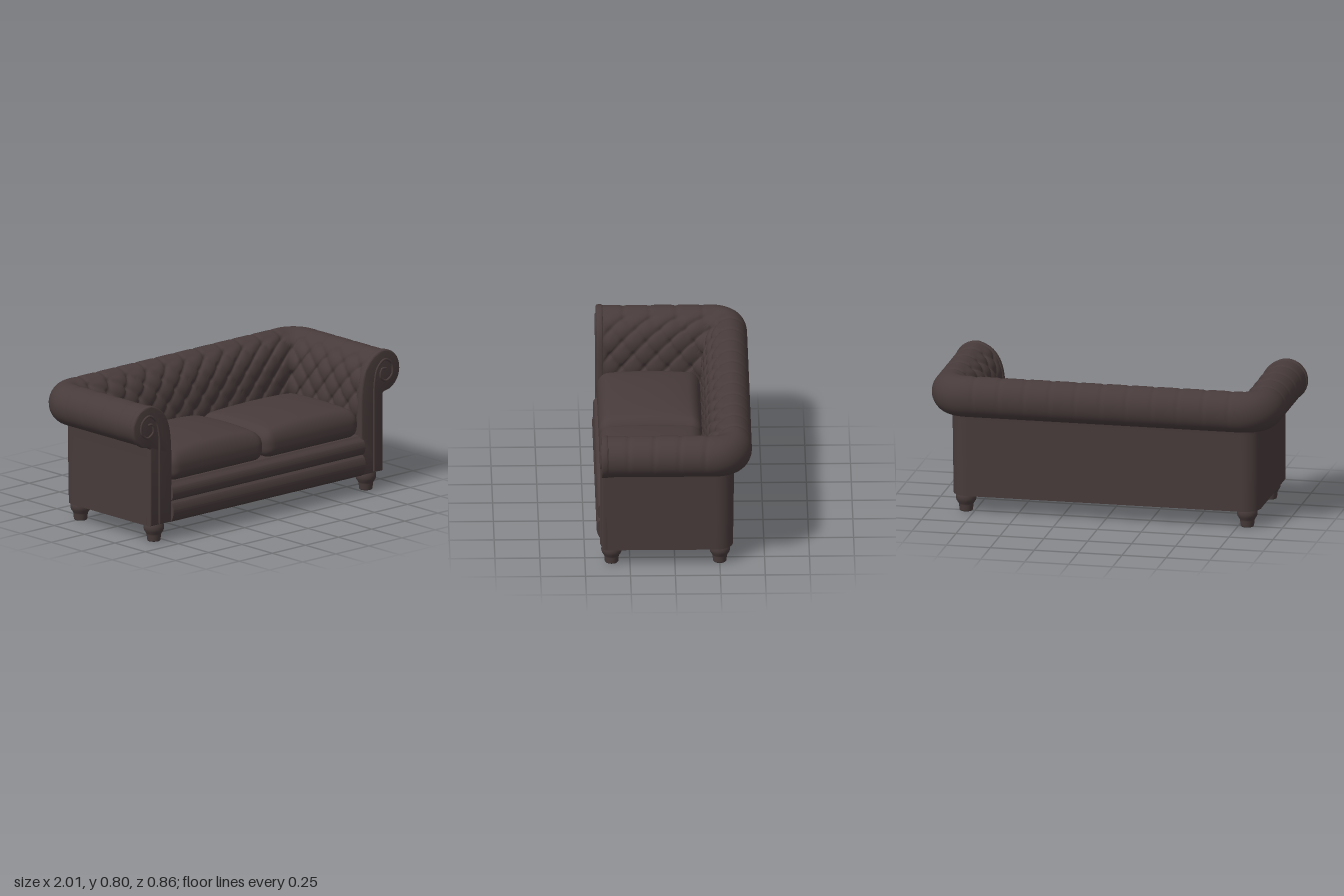
import * as THREE from 'three';
import { mergeVertices, toCreasedNormals } from 'three/addons/utils/BufferGeometryUtils.js';

const W = 0.88, B = 0.33, FRONT = 0.39, CORNER = 0.1; // outer shell outline
const TUFT = 0.14;                                    // button spacing

const smooth = (a, b, x) => THREE.MathUtils.smoothstep(x, a, b);

// Point on the U-shaped path (left arm, back, right arm), offset outward by d.
function pathPoint(leg, t, d) {
  const back = B + (d > 0 ? d * 0.83 : d);
  const r = Math.max(CORNER + d, 0.03);
  const cx = W + d - r, cz = -(back - r);
  if (leg === 0) return [W + d, FRONT + (cz - FRONT) * t];
  if (leg === 1) return [cx + r * Math.cos(t * Math.PI / 2), cz - r * Math.sin(t * Math.PI / 2)];
  if (leg === 2) return [cx * (1 - 2 * t), -back];
  const [x, z] = pathPoint(4 - leg === 1 ? 1 : 0, 1 - t, d);
  return [-x, z];
}

// Sweep an (offset, height) section round the path; relief pushes it along its normal.
function sweep(section, relief) {
  const stations = [];
  [60, 12, 170, 12, 60].forEach((n, leg) => {
    for (let k = leg ? 1 : 0; k <= n; k++) stations.push([leg, k / n]);
  });
  const lengths = [0];
  for (let j = 1; j < section.length; j++) lengths.push(lengths[j - 1] + section[j].distanceTo(section[j - 1]));
  const dist = [0];
  for (let i = 1; i < stations.length; i++) {
    const p = pathPoint(...stations[i], -0.1), q = pathPoint(...stations[i - 1], -0.1);
    dist.push(dist[i - 1] + Math.hypot(p[0] - q[0], p[1] - q[1]));
  }
  const total = dist[dist.length - 1], n = section.length, pos = [], index = [];
  stations.forEach(([leg, t], i) => {
    section.forEach((p, j) => {
      let d = p.x, y = p.y;
      if (relief) {
        const a = section[Math.max(j - 1, 0)], b = section[Math.min(j + 1, n - 1)];
        const l = a.distanceTo(b);
        const end = smooth(0, 0.05, Math.min(dist[i], total - dist[i]));
        const h = relief(dist[i] - total / 2, lengths[j]) * end;
        d -= (b.y - a.y) / l * h;
        y += (b.x - a.x) / l * h;
      }
      const [x, z] = pathPoint(leg, t, d);
      pos.push(x, y, z);
      if (i && j) {
        const c = i * n + j, e = c - n;
        index.push(e - 1, e, c - 1, e, c, c - 1);
      }
    });
  });
  const g = new THREE.BufferGeometry();
  g.setAttribute('position', new THREE.Float32BufferAttribute(pos, 3));
  g.setIndex(index);
  g.computeVertexNormals();
  return g;
}

// Diamond tufting on the inner face, running out into pleats over the roll.
function tufting(s, v) {
  const u = s / TUFT, w = (v - 0.49) / 0.15;
  const puff = Math.sqrt(Math.abs(Math.sin(Math.PI * (u + w)) * Math.sin(Math.PI * (u - w))));
  const button = Math.pow(Math.abs(Math.cos(Math.PI * (u + w)) * Math.cos(Math.PI * (u - w))), 10);
  const gap = Math.abs(u - Math.round(u)) * TUFT;
  const pleat = -0.005 * Math.exp(-Math.pow(gap / 0.012, 2)) * (1 - smooth(0.7, 0.86, v));
  const inside = 1 - smooth(0.47, 0.52, v);
  return inside * (0.018 * puff - 0.014 - 0.012 * button) + (1 - inside) * pleat;
}

// Plump cushion: a rounded box with a crowned top.
function cushionGeometry(w, h, d, r, crown) {
  const g = new THREE.BoxGeometry(w, h, d, 44, 12, 40);
  g.deleteAttribute('uv');
  g.deleteAttribute('normal');
  const p = g.attributes.position, v = new THREE.Vector3(), c = new THREE.Vector3();
  const lim = new THREE.Vector3(w / 2 - r, h / 2 - r, d / 2 - r);
  for (let i = 0; i < p.count; i++) {
    v.fromBufferAttribute(p, i);
    c.copy(v).clamp(lim.clone().negate(), lim);
    v.sub(c);
    if (v.length() > 0) v.setLength(r);
    v.add(c);
    const a = 1 - Math.pow(2 * v.x / w, 2), b = 1 - Math.pow(2 * v.z / d, 2);
    if (v.y > 0) v.y += crown * Math.sqrt(Math.max(a, 0) * Math.max(b, 0)) * v.y / (h / 2);
    p.setXYZ(i, v.x, v.y, v.z);
  }
  const m = mergeVertices(g, 1e-5);
  m.computeVertexNormals();
  return m;
}

export function createModel() {
  const sofa = new THREE.Group();
  sofa.name = 'sofa';
  const leather = new THREE.MeshStandardMaterial({ color: 0x483b3b });
  leather.name = 'dark brown leather';
  const add = (name, geometry, x = 0, y = 0, z = 0) => {
    const m = new THREE.Mesh(geometry, leather);
    m.name = name;
    m.position.set(x, y, z);
    sofa.add(m);
    return m;
  };
  const V = (x, y) => new THREE.Vector2(x, y);

  // Rolled arms and back in one sweep
  const profile = [V(-0.16, 0.3), V(-0.16, 0.45), V(-0.155, 0.58), V(-0.135, 0.68), V(-0.09, 0.75)];
  for (let k = 0; k <= 8; k++) {
    const a = THREE.MathUtils.degToRad(105 - k * 24.4);
    profile.push(V(0.005 + 0.115 * Math.cos(a), 0.677 + 0.115 * Math.sin(a)));
  }
  const roll = new THREE.SplineCurve(profile).getSpacedPoints(84);
  add('tuftedArmsAndBack', sweep(roll, tufting));
  add('outerPanel', sweep([V(0.005, 0.57), V(0, 0.54), V(-0.003, 0.3), V(-0.006, 0.1)]));
  add('undersideRim', sweep([V(-0.006, 0.1), V(-0.17, 0.1)]));

  // Arm fronts with scroll piping
  const scroll = [[0.81, 0.11], [0.81, 0.3], [0.81, 0.5], [0.813, 0.62], [0.837, 0.705], [0.89, 0.742],
    [0.942, 0.71], [0.945, 0.65], [0.9, 0.618], [0.858, 0.645], [0.868, 0.69], [0.9, 0.69]];
  for (const side of [1, -1]) {
    const name = side > 0 ? 'left' : 'right';
    const outline = [V(-0.16, 0.108), ...roll.filter((p, j) => j % 2 === 0), V(-0.008, 0.55), V(-0.008, 0.108)]
      .map(p => V(side * (W + p.x), p.y));
    const front = new THREE.ExtrudeGeometry(new THREE.Shape(outline), {
      depth: 0.018, bevelThickness: 0.01, bevelSize: 0.008, bevelOffset: -0.003, bevelSegments: 3 });
    add(name + 'ArmFront', toCreasedNormals(front, 0.6), 0, 0, 0.382);
    const curve = new THREE.CatmullRomCurve3(scroll.map(([x, y]) => new THREE.Vector3(side * x, y, 0.41)));
    add(name + 'ScrollPiping', new THREE.TubeGeometry(curve, 90, 0.007, 8));
  }

  // Seat base with two padded front rails
  const base = new THREE.Shape();
  base.moveTo(-0.2, 0.1);
  base.lineTo(0.4, 0.1);
  base.splineThru([V(0.422, 0.12), V(0.434, 0.165), V(0.425, 0.205), V(0.406, 0.222)]);
  base.splineThru([V(0.424, 0.238), V(0.43, 0.27), V(0.422, 0.3), V(0.4, 0.317)]);
  base.lineTo(0.39, 0.328);
  base.lineTo(-0.2, 0.328);
  const rails = new THREE.ExtrudeGeometry(base, { depth: 1.45, bevelEnabled: false, curveSegments: 8 });
  rails.rotateY(-Math.PI / 2);
  add('seatBase', toCreasedNormals(rails, 0.6), 0.725, 0, 0);

  // Seat cushions
  add('leftCushion', cushionGeometry(0.71, 0.15, 0.575, 0.06, 0.04), 0.358, 0.398, 0.122);
  add('rightCushion', cushionGeometry(0.71, 0.15, 0.575, 0.06, 0.055), -0.358, 0.398, 0.122);

  // Turned feet
  const foot = new THREE.LatheGeometry([V(0, 0), V(0.034, 0), V(0.038, 0.006), V(0.04, 0.035), V(0.044, 0.045),
    V(0.054, 0.06), V(0.058, 0.075), V(0.057, 0.09), V(0.052, 0.105)], 28);
  for (const side of [1, -1]) {
    const name = side > 0 ? 'left' : 'right';
    add(name + 'FrontFoot', foot, side * 0.8, 0, 0.352);
    add(name + 'BackFoot', foot, side * 0.8, 0, -0.25);
  }
  return sofa;
}
